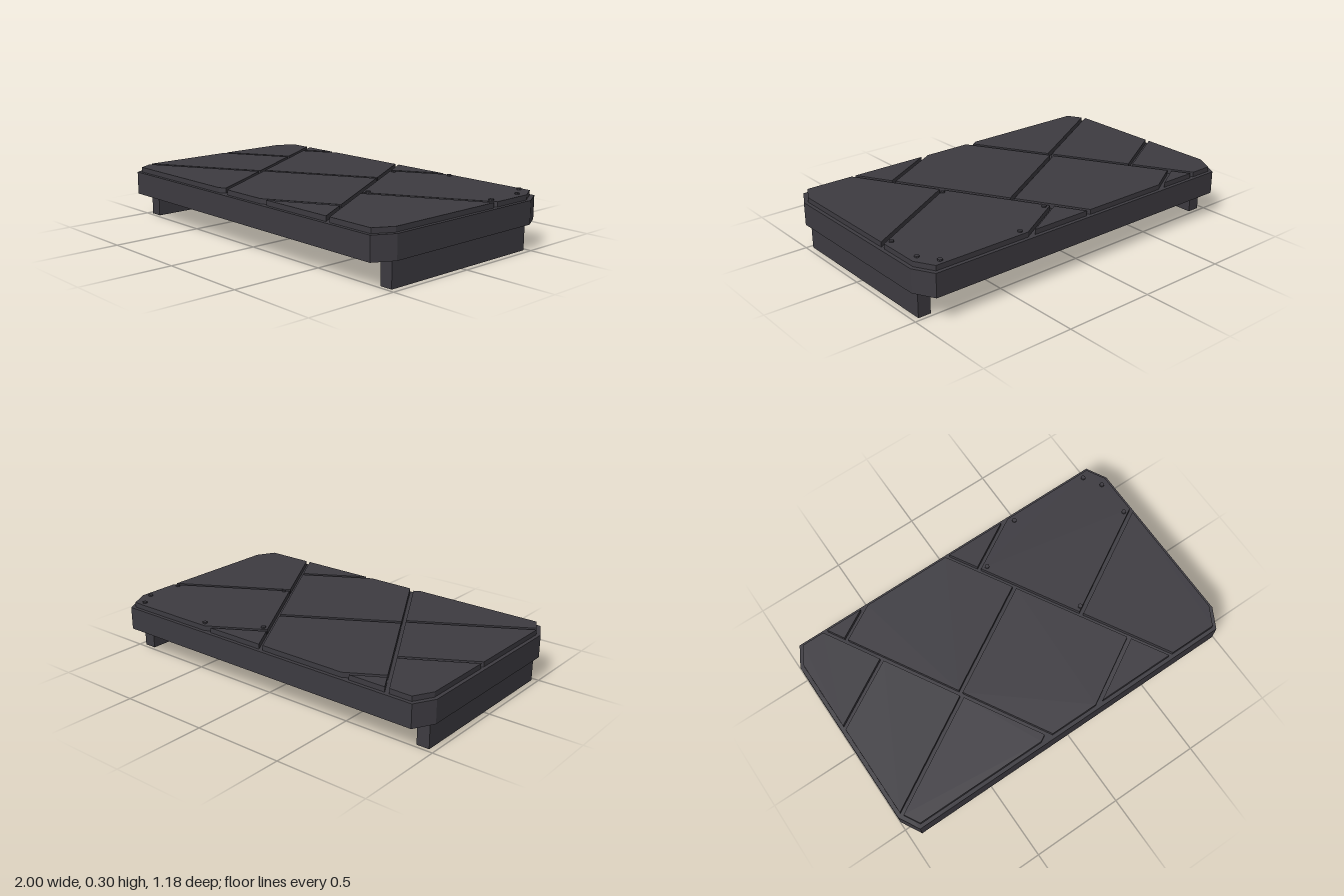
import * as THREE from 'three';

const charcoal = new THREE.MeshStandardMaterial({ name: 'charcoal stone', color: 0x3d3b41, flatShading: true });

// Prism over a floor outline of [x, z] points
function prism(name, points, bottom, top) {
  const shape = new THREE.Shape(points.map(([x, z]) => new THREE.Vector2(x, z)));
  const geometry = new THREE.ExtrudeGeometry(shape, { depth: top - bottom, bevelEnabled: false });
  geometry.rotateX(Math.PI / 2).translate(0, top, 0);
  const mesh = new THREE.Mesh(geometry, charcoal);
  mesh.name = name;
  return mesh;
}

// Rectangle with cut corners
function cutRectangle(w, d, cx, cz) {
  return [[w - cx, -d], [w, cz - d], [w, d - cz], [w - cx, d],
    [cx - w, d], [-w, d - cz], [-w, cz - d], [cx - w, -d]];
}

// Keeps the part of a convex outline where nx * x + nz * z <= limit
function clip(points, nx, nz, limit) {
  const result = [];
  points.forEach((a, i) => {
    const b = points[(i + 1) % points.length];
    const da = nx * a[0] + nz * a[1] - limit;
    const db = nx * b[0] + nz * b[1] - limit;
    if (da <= 0) result.push(a);
    if (da * db < 0) {
      const t = da / (da - db);
      result.push([a[0] + (b[0] - a[0]) * t, a[1] + (b[1] - a[1]) * t]);
    }
  });
  return result;
}

export function createModel() {
  const model = new THREE.Group();
  model.name = 'pavedPlatform';

  // Base slab
  model.add(prism('slab', cutRectangle(1, 0.59, 0.06, 0.11), 0.14, 0.265));

  // Runners under both ends
  for (const side of [-1, 1]) {
    const runner = new THREE.Mesh(new THREE.BoxGeometry(0.07, 0.14, 0.96), charcoal);
    runner.name = side > 0 ? 'leftRunner' : 'rightRunner';
    runner.position.set(side * 0.934, 0.07, 0);
    model.add(runner);
  }

  // Diagonal paving: three columns, each split at its own joints
  const area = cutRectangle(0.98, 0.57, 0.055, 0.1);
  const c = Math.cos(Math.PI / 6), s = 0.5, gap = 0.011;
  const columns = [
    { from: -3, to: -0.398, joints: [-3, -0.543, -0.073, 0.41] },
    { from: -0.398, to: 0.274, joints: [-3, -0.767, -0.091, 0.582, 3] },
    { from: 0.274, to: 3, joints: [-3, -0.312, 0.295, 3] },
  ];
  const tiles = new THREE.Group();
  tiles.name = 'pavingTiles';
  for (const { from, to, joints } of columns) {
    let strip = clip(area, c, -s, to - gap);
    strip = clip(strip, -c, s, -from - gap);
    for (let i = 0; i + 1 < joints.length; i++) {
      let outline = clip(strip, s, c, joints[i + 1] - gap);
      outline = clip(outline, -s, -c, -joints[i] - gap);
      if (outline.length > 2) tiles.add(prism('tile', outline, 0.265, 0.292));
    }
  }
  model.add(tiles);

  // Studs around the rim of one tile
  const studs = [[0.13, -0.395], [0.41, -0.54], [0.88, -0.54], [0.94, -0.445], [0.94, -0.24], [0.41, 0.08]];
  for (const [x, z] of studs) {
    const stud = new THREE.Mesh(new THREE.CylinderGeometry(0.0125, 0.0125, 0.016, 8), charcoal);
    stud.name = 'stud';
    stud.position.set(x, 0.292, z);
    model.add(stud);
  }
  return model;
}
